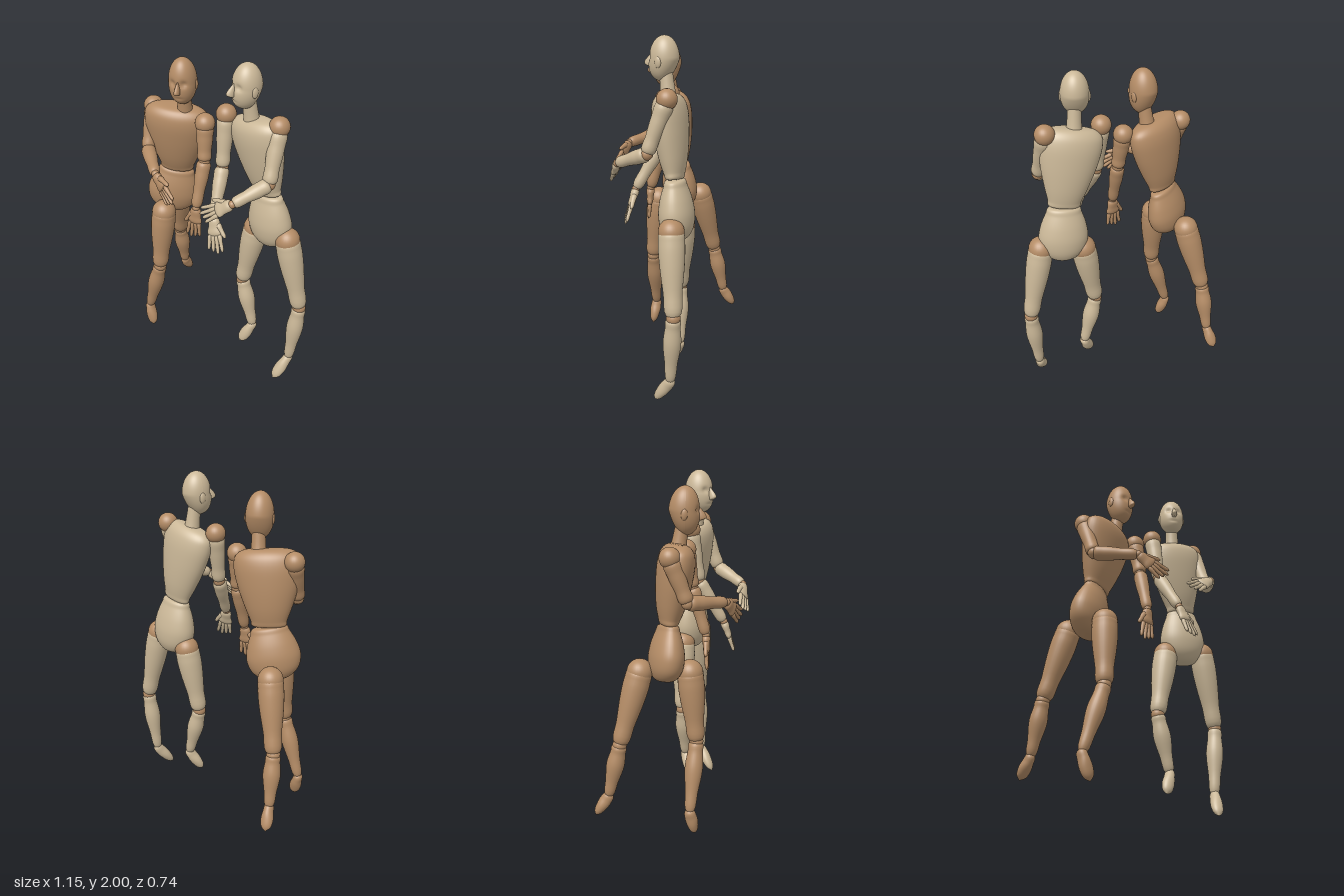
import * as THREE from 'three';

const V = (a) => new THREE.Vector3(...a);
const material = (name, color) => {
  const m = new THREE.MeshStandardMaterial({ color });
  m.name = name;
  return m;
};

// Smooth body from p to q: profile entries are [t, half width, half depth]; side is the width direction
function loft(p, q, side, profile, steps = 28, seg = 28) {
  const axis = q.clone().sub(p);
  const Y = axis.clone().normalize();
  const X = side.clone().addScaledVector(Y, -side.dot(Y)).normalize();
  const Z = X.clone().cross(Y);
  const curve = new THREE.CatmullRomCurve3(profile.map(([t, a, b = a]) => new THREE.Vector3(t, a, b)), false, 'centripetal');
  const pos = [], idx = [];
  for (let i = 0; i <= steps; i++) {
    const k = curve.getPoint(i / steps);
    for (let j = 0; j < seg; j++) {
      const a = j / seg * Math.PI * 2;
      const v = p.clone().addScaledVector(axis, k.x)
        .addScaledVector(X, Math.max(k.y, 0.0003) * Math.cos(a))
        .addScaledVector(Z, Math.max(k.z, 0.0003) * Math.sin(a));
      pos.push(v.x, v.y, v.z);
      if (i < steps) {
        const n = (j + 1) % seg, r = i * seg;
        idx.push(r + j, r + seg + j, r + n, r + n, r + seg + j, r + seg + n);
      }
    }
  }
  const g = new THREE.BufferGeometry();
  g.setAttribute('position', new THREE.Float32BufferAttribute(pos, 3));
  g.setIndex(idx);
  g.computeVertexNormals();
  return g;
}

function add(parent, name, geometry, mat) {
  const m = new THREE.Mesh(geometry, mat);
  m.name = name;
  parent.add(m);
  return m;
}

function ball(parent, name, at, r, mat) {
  add(parent, name, new THREE.SphereGeometry(r, 28, 20), mat).position.copy(at);
}

const PROFILE = {
  torso: [[0, 0], [0.005, 0.08, 0.046], [0.08, 0.09, 0.06], [0.25, 0.115, 0.08], [0.55, 0.151, 0.097], [0.8, 0.165, 0.098], [0.92, 0.152, 0.083], [0.985, 0.11, 0.055], [1, 0]],
  pelvis: [[0, 0], [0.03, 0.06, 0.05], [0.16, 0.115, 0.085], [0.4, 0.141, 0.1], [0.65, 0.13, 0.09], [0.88, 0.102, 0.066], [0.99, 0.083, 0.05], [1, 0]],
  neck: [[0, 0.046], [0.4, 0.04], [1, 0.036]],
  thigh: [[-0.03, 0], [0, 0.062], [0.12, 0.072], [0.35, 0.069], [0.7, 0.052], [0.97, 0.038], [1, 0]],
  shin: [[0, 0], [0.02, 0.036], [0.15, 0.042], [0.38, 0.05], [0.7, 0.036], [0.97, 0.023], [1.02, 0]],
  foot: [[-0.16, 0], [-0.1, 0.02, 0.022], [0.2, 0.03, 0.034], [0.55, 0.036, 0.031], [0.85, 0.025, 0.019], [1, 0]],
  upperArm: [[0, 0], [0.08, 0.042], [0.35, 0.046], [0.7, 0.039], [0.97, 0.031], [1, 0]],
  forearm: [[0, 0], [0.02, 0.031], [0.25, 0.04], [0.6, 0.033], [0.97, 0.022], [1, 0]],
  palm: [[0, 0], [0.03, 0.02, 0.017], [0.5, 0.036, 0.02], [0.85, 0.04, 0.016], [1, 0]],
  finger: [[0, 0], [0.05, 0.01], [0.5, 0.0105], [0.9, 0.008], [1, 0]],
  thumb: [[0, 0], [0.05, 0.013], [0.5, 0.013], [0.9, 0.009], [1, 0]],
  nose: [[0, 0], [0.06, 0.013, 0.02], [0.2, 0.016, 0.026], [0.6, 0.01, 0.015], [1, 0]],
};

const scaled = (profile, [w, d]) => profile.map(([t, a, b = a]) => [t, a * w, b * d]);

// Palm with four spread fingers and a thumb on the +side edge
function hand(parent, wrist, tip, side, mat) {
  const g = new THREE.Group();
  g.name = 'hand';
  parent.add(g);
  const d = tip.clone().sub(wrist), Y = d.clone().normalize();
  const X = side.clone().addScaledVector(Y, -side.dot(Y)).normalize();
  const at = (u, t) => wrist.clone().addScaledVector(X, u).addScaledVector(d, t);
  add(g, 'palm', loft(wrist, at(0, 0.54), X, PROFILE.palm, 16, 20), mat);
  [-1.5, -0.5, 0.5, 1.5].forEach((k) => {
    const end = 1 - 0.06 * Math.abs(k - 0.5);
    add(g, 'finger', loft(at(k * 0.018, 0.44), at(k * 0.028, end), X, PROFILE.finger, 12, 12), mat);
  });
  add(g, 'thumb', loft(at(0.018, 0.15), at(0.064, 0.56), X, PROFILE.thumb, 12, 12), mat);
}

// Egg head with full jaw, eye hollows, mouth groove, nose and ears
function head(parent, at, yaw, pitch, h, mat) {
  const g = new THREE.Group();
  g.name = 'head';
  g.position.copy(at);
  g.rotation.set(pitch, yaw, 0, 'YXZ');
  parent.add(g);
  const geo = new THREE.SphereGeometry(1, 56, 44);
  const p = geo.attributes.position;
  const bump = (x, y, w, s) => Math.exp(-(x * x) / (w * w) - (y * y) / (s * s));
  for (let i = 0; i < p.count; i++) {
    const x = p.getX(i), y = p.getY(i), z = p.getZ(i);
    const low = Math.max(0, -y);
    const X = x * 0.077 * (1 + 0.06 * low);
    let Z = z * 0.082;
    if (z < 0) Z *= 1 - 0.3 * low;
    else {
      Z *= 1 + 0.18 * low;
      Z -= 0.014 * bump(Math.abs(x) - 0.4, y - 0.08, 0.22, 0.13) + 0.006 * bump(x, y + 0.56, 0.3, 0.05);
    }
    p.setXYZ(i, X, y * h, Z + 0.012 * low);
  }
  geo.computeVertexNormals();
  add(g, 'skull', geo, mat);
  add(g, 'nose', loft(V([0, -0.044, 0.102]), V([0, 0.032, 0.074]), V([1, 0, 0]), PROFILE.nose, 16, 16), mat);
  for (const s of [-1, 1]) {
    const ear = add(g, 'ear', new THREE.SphereGeometry(1, 20, 14), mat);
    ear.scale.set(0.01, 0.03, 0.018);
    ear.position.set(s * 0.074, -0.015, -0.002);
  }
}

function figure(name, f, body, joint) {
  const g = new THREE.Group();
  g.name = name;
  add(g, 'torso', loft(V(f.waist), V(f.collar), V(f.chestSide), scaled(PROFILE.torso, f.chestScale), 48, 40), body);
  add(g, 'pelvis', loft(V(f.crotch), V(f.waist), V(f.hipSide), scaled(PROFILE.pelvis, f.hipScale), 48, 40), body);
  add(g, 'neck', loft(V(f.neck[0]), V(f.neck[1]), V([1, 0, 0]), PROFILE.neck, 8, 24), body);
  head(g, V(f.head), f.yaw, f.pitch, f.headHalf, body);
  for (const side of ['left', 'right']) {
    const { arm, leg, thumb } = f[side];
    const [shoulder, elbow, wrist, tip] = arm.map(V);
    const [hip, knee, ankle, toe] = leg.map(V);
    const X = V([1, 0, 0]), Z = V([0, 0, 1]);
    ball(g, side + 'Shoulder', shoulder, 0.056, joint);
    add(g, side + 'UpperArm', loft(shoulder, elbow, X, PROFILE.upperArm), body);
    ball(g, side + 'Elbow', elbow, 0.033, joint);
    add(g, side + 'Forearm', loft(elbow, wrist, Z, PROFILE.forearm), body);
    ball(g, side + 'Wrist', wrist, 0.022, joint);
    hand(g, wrist, tip, V(thumb), body);
    ball(g, side + 'Hip', hip, 0.071, joint);
    add(g, side + 'Thigh', loft(hip, knee, X, PROFILE.thigh), body);
    ball(g, side + 'Knee', knee, 0.039, joint);
    add(g, side + 'Shin', loft(knee, ankle, X, PROFILE.shin), body);
    ball(g, side + 'Ankle', ankle, 0.024, joint);
    add(g, side + 'Foot', loft(ankle, toe, X, PROFILE.foot), body);
  }
  return g;
}

// Joint positions: arm = shoulder, elbow, wrist, fingertip; leg = hip, knee, ankle, toe
const DARK = {
  waist: [-0.335, 1.215, 0.0], collar: [-0.285, 1.642, 0.045], crotch: [-0.4, 0.91, -0.005],
  chestSide: [0.93, 0, -0.37], chestScale: [1.13, 1], hipSide: [0.87, 0, -0.5], hipScale: [1.08, 0.94],
  neck: [[-0.24, 1.6, 0.03], [-0.225, 1.74, 0.052]], head: [-0.225, 1.81, 0.06], yaw: 0.3, pitch: 0.08, headHalf: 0.13,
  left: {
    arm: [[-0.096, 1.585, 0.042], [-0.08, 1.37, 0.075], [-0.085, 1.1, 0.155], [-0.1, 0.895, 0.17]], thumb: [-1, 0, 0.1],
    leg: [[-0.35, 0.96, 0.125], [-0.37, 0.57, 0.165], [-0.485, 0.19, 0.155], [-0.445, 0.05, 0.178]],
  },
  right: {
    arm: [[-0.456, 1.595, 0.04], [-0.44, 1.36, 0.13], [-0.25, 1.335, 0.298], [-0.095, 1.215, 0.358]], thumb: [0.5, 0.8, 0.1],
    leg: [[-0.43, 0.97, -0.135], [-0.515, 0.57, -0.23], [-0.535, 0.265, -0.295], [-0.555, 0.15, -0.368]],
  },
};
const LIGHT = {
  waist: [0.29, 1.25, -0.008], collar: [0.205, 1.698, 0.03], crotch: [0.315, 0.915, -0.025],
  chestSide: [1, 0, 0.2], chestScale: [1.05, 0.93], hipSide: [1, 0.1, 0.2], hipScale: [1, 0.97],
  neck: [[0.2, 1.66, 0.03], [0.187, 1.81, 0.045]], head: [0.18, 1.879, 0.053], yaw: -0.45, pitch: 0, headHalf: 0.121,
  left: {
    arm: [[0.366, 1.69, 0.03], [0.38, 1.405, 0.135], [0.265, 1.33, 0.305], [0.085, 1.21, 0.345]], thumb: [-0.3, 0.75, -0.5],
    leg: [[0.435, 1.0, 0.005], [0.53, 0.545, -0.01], [0.49, 0.14, 0.01], [0.438, 0.003, 0.1]],
  },
  right: {
    arm: [[0.04, 1.675, 0.035], [0.05, 1.38, 0.085], [0.09, 1.14, 0.225], [0.145, 0.945, 0.285]], thumb: [1, 0.1, -0.2],
    leg: [[0.195, 0.965, -0.045], [0.12, 0.56, -0.03], [0.2, 0.23, -0.03], [0.137, 0.098, 0.022]],
  },
};

export function createModel() {
  const dark = material('brownWood', 0xb48c66);
  const light = material('paleWood', 0xcbb898);
  const group = new THREE.Group();
  group.name = 'mannequinPair';
  group.add(figure('brownMannequin', DARK, dark, dark));
  group.add(figure('paleMannequin', LIGHT, light, dark));
  return group;
}
